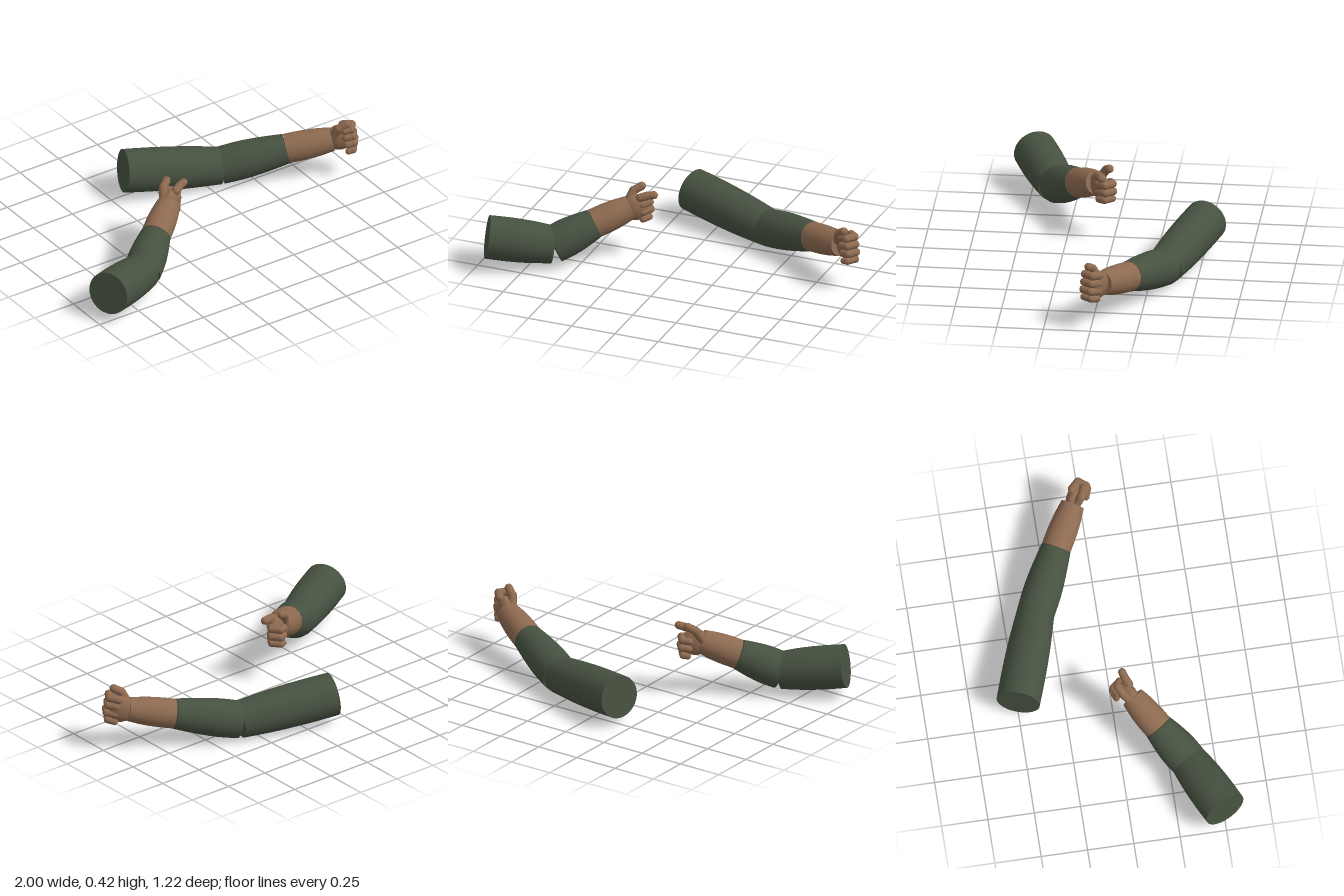
import * as THREE from 'three';

const sleeve = new THREE.MeshStandardMaterial({ color: 0x465140 });
sleeve.name = 'sleeve green';
const skin = new THREE.MeshStandardMaterial({ color: 0x8d6a50 });
skin.name = 'skin brown';

const V = (p) => new THREE.Vector3(...p);
const UP = new THREE.Vector3(0, 1, 0);

// Place a mesh built along +y so that it runs from a to b
function along(mesh, a, b) {
  mesh.position.copy(a).lerp(b, 0.5);
  mesh.quaternion.setFromUnitVectors(UP, b.clone().sub(a).normalize());
  return mesh;
}

// Closed, gently bulging limb section; radii are spread evenly over its length
function limb(name, material, from, to, radii) {
  const a = V(from), b = V(to), len = a.distanceTo(b);
  const curve = new THREE.SplineCurve(radii.map((r, i) =>
    new THREE.Vector2(r, (i / (radii.length - 1) - 0.5) * len)));
  const side = curve.getPoints(14);
  const first = side[0], last = side[side.length - 1];
  // doubled rim points keep the end caps sharp
  const profile = [new THREE.Vector2(0, first.y), first.clone(), ...side,
    last.clone(), new THREE.Vector2(0, last.y)];
  const mesh = along(new THREE.Mesh(new THREE.LatheGeometry(profile, 40), material), a, b);
  mesh.name = name;
  return mesh;
}

// Chain of rounded finger bones through the joints
function finger(name, joints, radius) {
  const g = new THREE.Group();
  g.name = name;
  for (let i = 0; i < joints.length - 1; i++) {
    const a = V(joints[i]), b = V(joints[i + 1]);
    const bone = new THREE.Mesh(
      new THREE.CapsuleGeometry(radius * (1 - 0.06 * i), a.distanceTo(b), 6, 14), skin);
    bone.name = 'fingerBone';
    g.add(along(bone, a, b));
  }
  return g;
}

// Fist: local x runs forward, y to the thumb side, z to the palm side
function hand(wrist, forward, palmSign, pointing) {
  const g = new THREE.Group();
  g.name = 'hand';
  const x = V(forward).normalize();
  const z = x.clone().cross(UP).normalize().multiplyScalar(palmSign);
  const y = z.clone().cross(x).multiplyScalar(palmSign);
  // both hands are built right-handed; the sign flips the palm side of the points
  const s = palmSign;
  g.quaternion.setFromRotationMatrix(
    new THREE.Matrix4().makeBasis(x, y.clone().multiplyScalar(Math.sign(y.y)),
      z.clone().multiplyScalar(s)));
  g.position.copy(V(wrist));

  const palm = new THREE.Mesh(new THREE.SphereGeometry(1, 24, 16), skin);
  palm.name = 'palm';
  palm.scale.set(0.075, 0.075, 0.042);
  palm.position.set(0.045, 0, -0.008 * s);
  g.add(palm);

  for (let i = 0; i < 4; i++) {
    const h = 0.062 - i * 0.043;
    const k = i === 3 ? -0.012 : 0;
    const joints = pointing && i === 0
      ? [[0.07, h, -0.03 * s], [0.11, 0.068, -0.036 * s], [0.142, 0.07, -0.046 * s]]
      : [[0.072, h, -0.028 * s], [0.12 + k, h, -0.014 * s],
        [0.116 + k, h, 0.036 * s], [0.078, h, 0.042 * s]];
    g.add(finger('finger', joints, i === 3 ? 0.02 : 0.023));
  }
  g.add(finger('thumb', [[0.01, 0.03, 0.02 * s], [0.05, 0.08, 0.035 * s],
    [0.095, 0.098, 0.032 * s]], 0.024));
  return g;
}

function arm(name, p) {
  const g = new THREE.Group();
  g.name = name;
  g.add(
    limb('upperSleeve', sleeve, p.shoulder, p.elbow, [0.117, 0.118, 0.113, 0.101]),
    limb('lowerSleeve', sleeve, p.elbow, p.cuff, [0.101, 0.103, 0.095, 0.081]),
    limb('forearm', skin, p.cuff, p.wrist, [0.08, 0.08, 0.075, 0.064]),
    hand(p.hand, p.forward, p.palm, p.pointing));
  return g;
}

export function createModel() {
  const model = new THREE.Group();
  model.name = 'pairOfArms';
  model.add(
    arm('rightArm', {
      shoulder: [-0.945, 0.188, 0.5], elbow: [-0.625, 0.136, 0.352],
      cuff: [-0.445, 0.233, 0.215], wrist: [-0.285, 0.308, 0.1],
      hand: [-0.3, 0.3, 0.1], forward: [0.77, 0.1, -0.53], palm: -1, pointing: true,
    }),
    arm('leftArm', {
      shoulder: [-0.172, 0.167, -0.5], elbow: [0.335, 0.111, -0.33],
      cuff: [0.655, 0.187, -0.172], wrist: [0.87, 0.235, -0.05],
      hand: [0.865, 0.235, -0.05], forward: [0.85, 0.17, 0.5], palm: 1, pointing: false,
    }));
  return model;
}
